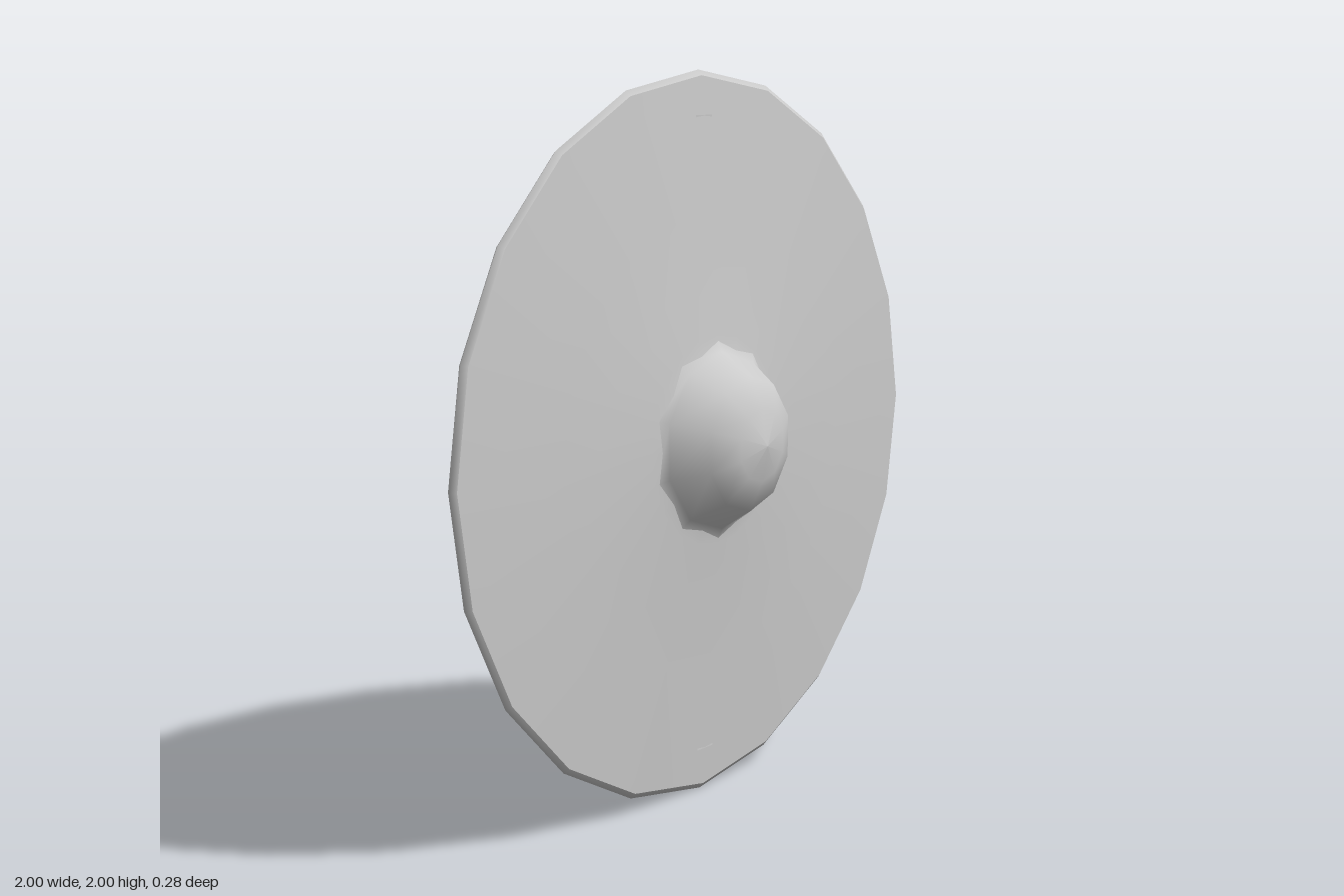
import * as THREE from 'three';

const material = new THREE.MeshStandardMaterial({ color: 0xcccccc });

// Turns a [radius, z] profile around the shield's z axis.
function turned(name, profile, sides) {
  const geometry = new THREE.LatheGeometry(profile.map(([r, z]) => new THREE.Vector2(r, z)), sides);
  geometry.rotateX(Math.PI / 2);
  const mesh = new THREE.Mesh(geometry, material);
  mesh.name = name;
  mesh.position.y = 1;
  return mesh;
}

export function createModel() {
  const shield = new THREE.Group();
  shield.name = 'roundShield';

  // Shallow conical board: hollow back, rolled rim, front face
  shield.add(turned('boardBack', [[0.23, -0.04], [0.55, -0.06], [0.89, -0.085]], 20));
  shield.add(turned('rim', [[0.89, -0.085], [0.905, -0.108], [0.96, -0.11], [0.99, -0.108], [1, -0.095], [0.985, -0.083]], 20));
  shield.add(turned('boardFront', [[0.985, -0.083], [0.62, -0.056], [0.29, -0.032], [0.23, -0.02]], 20));

  // Hollow domed boss
  shield.add(turned('bossInside', [[0, 0.115], [0.1, 0.1], [0.17, 0.06], [0.225, -0.02], [0.24, -0.042]], 10));
  shield.add(turned('boss', [[0.28, -0.032], [0.245, -0.015], [0.185, 0.08], [0.1, 0.12], [0, 0.138]], 10));

  // Bent grip bar across the back
  const side = new THREE.Shape([
    [-0.098, -0.88], [-0.138, 0], [-0.098, 0.88], [-0.075, 0.88], [-0.113, 0], [-0.075, -0.88],
  ].map(([z, y]) => new THREE.Vector2(z, y)));
  const bar = new THREE.ExtrudeGeometry(side, { depth: 0.07, bevelEnabled: false });
  bar.translate(0, 0, -0.035);
  bar.rotateY(-Math.PI / 2);
  const grip = new THREE.Mesh(bar, material);
  grip.name = 'gripBar';
  grip.position.y = 1;
  shield.add(grip);

  return shield;
}
